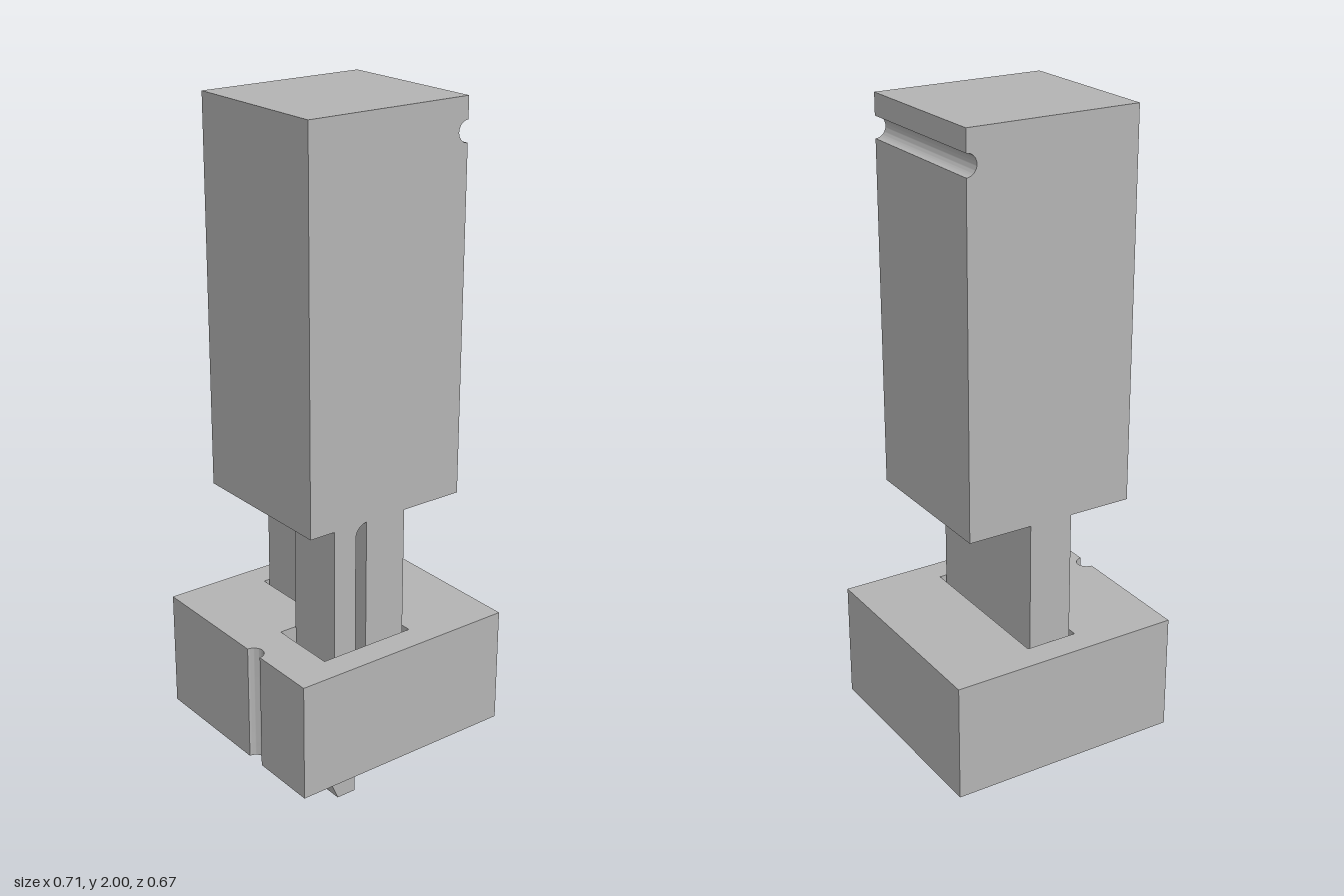
import * as THREE from 'three';
import { toCreasedNormals } from 'three/addons/utils/BufferGeometryUtils.js';

const grey = new THREE.MeshStandardMaterial({ color: 0xb3b3b3 });
grey.name = 'grey';

const shapeOf = (pts) => new THREE.Shape(pts.map(([x, y]) => new THREE.Vector2(x, y)));

function extrude(name, shape, depth) {
  const geo = new THREE.ExtrudeGeometry(shape, { depth, bevelEnabled: false, curveSegments: 16 });
  const mesh = new THREE.Mesh(toCreasedNormals(geo, 0.5), grey);
  mesh.name = name;
  return mesh;
}

// Front profile (x, y) extruded from z0 to z1
function frontPart(name, shape, z0, z1) {
  const mesh = extrude(name, shape, z1 - z0);
  mesh.position.z = z0;
  return mesh;
}

// Plan outline (x, -z) extruded from y0 to y1
function planPart(name, shape, y0, y1) {
  const mesh = extrude(name, shape, y1 - y0);
  mesh.rotation.x = -Math.PI / 2;
  mesh.position.y = y0;
  return mesh;
}

// Block outline with the half-round groove on its right side
function blockOutline(hole) {
  const w = 0.357, d = 0.333;
  const s = shapeOf([[-w, -d], [w, -d], [w, d], [-w, d], [-w, -0.064]]);
  s.absarc(-w, -0.094, 0.03, Math.PI / 2, -Math.PI / 2, true);
  s.closePath();
  s.holes.push(new THREE.Path(hole.map(([x, z]) => new THREE.Vector2(x, -z))));
  return s;
}

export function createModel() {
  const model = new THREE.Group();
  const half = 0.238, bw = 0.261, bodyY = 0.863;

  // Tall body and stem in one profile, with a round groove near the top
  const body = shapeOf([[-bw, bodyY], [-0.069, bodyY], [-0.069, 0.19], [0.065, 0.19],
    [0.065, bodyY], [bw, bodyY], [bw, 1.875]]);
  body.absarc(bw, 1.906, 0.031, -Math.PI / 2, Math.PI / 2, true);
  body.lineTo(bw, 2);
  body.lineTo(-bw, 2);
  body.closePath();
  model.add(frontPart('bodyAndStem', body, -half, half));

  // Springy clip with a hooked foot and a rounded root
  const clip = shapeOf([[-0.18, bodyY], [-0.18, 0.121], [-0.212, 0.115], [-0.212, 0.105],
    [-0.168, 0], [-0.106, 0], [-0.106, 0.823]]);
  clip.absarc(-0.066, 0.823, 0.04, Math.PI, Math.PI / 2, true);
  clip.closePath();
  model.add(frontPart('clip', clip, 0.052, half));

  // Socket block: upper part with the L-shaped pocket, floor with the clip hole
  const slotZ = 0.04, end = 0.251, floorY = 0.17, topY = 0.482;
  const pocket = [[-0.08, -end], [0.08, -end], [0.08, end], [-0.225, end], [-0.225, slotZ], [-0.08, slotZ]];
  const clipHole = [[-0.195, slotZ], [-0.072, slotZ], [-0.072, end], [-0.195, end]];
  model.add(planPart('socketBlock', blockOutline(pocket), floorY, topY));
  model.add(planPart('socketFloor', blockOutline(clipHole), 0.127, floorY));

  // Sloped lead-in on the clip side of the pocket
  const ramp = shapeOf([[-0.225, floorY], [-0.195, floorY], [-0.195, 0.38], [-0.225, topY]]);
  model.add(frontPart('leadInRamp', ramp, slotZ, end));

  return model;
}
